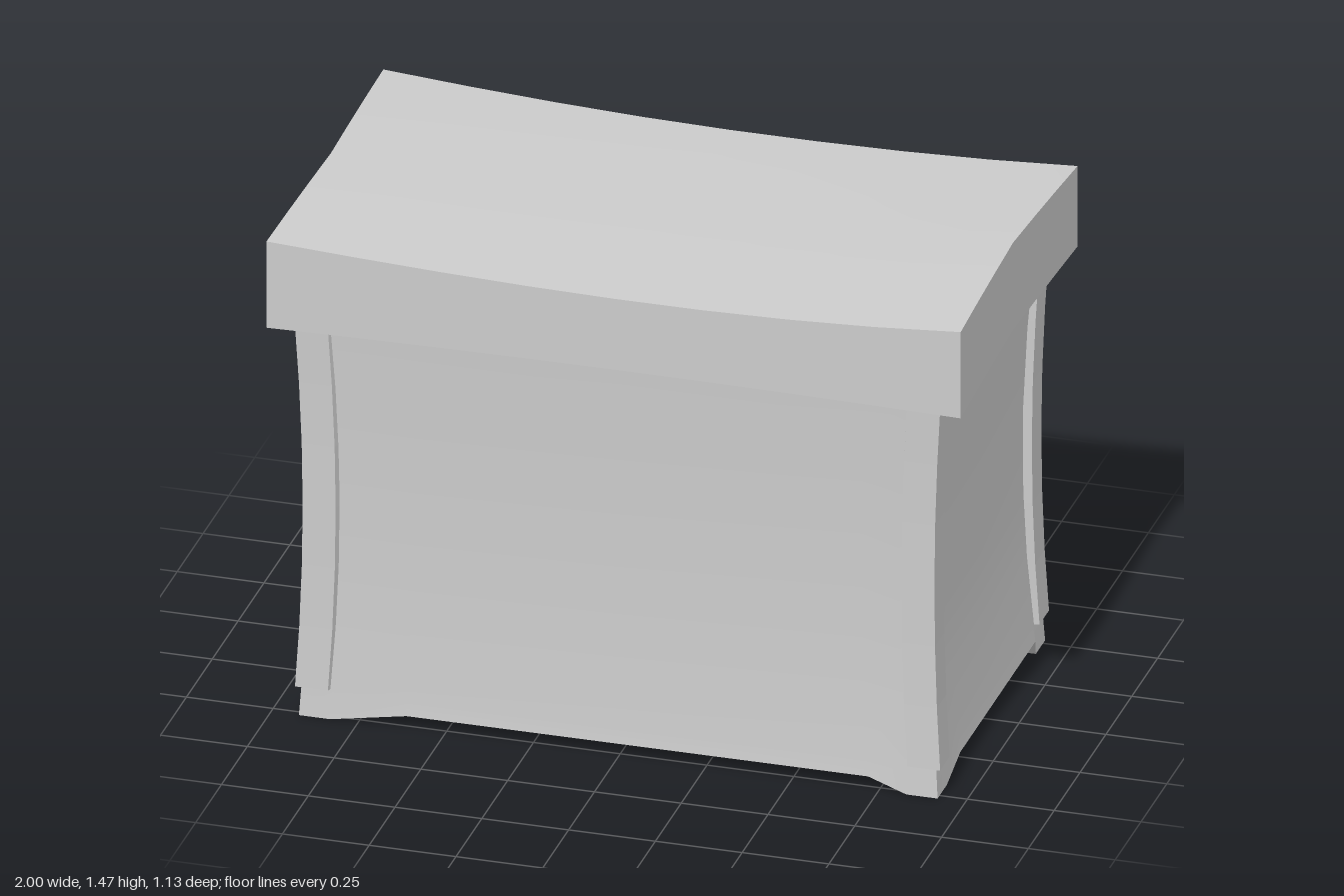
import * as THREE from 'three';

const material = new THREE.MeshStandardMaterial({ color: 0xcccccc });

// Move every vertex by a rule, then refresh the normals (box edges stay sharp)
function reshape(geometry, rule) {
  const p = geometry.attributes.position;
  const v = new THREE.Vector3();
  for (let i = 0; i < p.count; i++) {
    v.fromBufferAttribute(p, i);
    rule(v);
    p.setXYZ(i, v.x, v.y, v.z);
  }
  geometry.computeVertexNormals();
  return geometry;
}

function part(name, geometry) {
  const mesh = new THREE.Mesh(geometry, material);
  mesh.name = name;
  return mesh;
}

// 0 at the top and bottom of the sides, 1 at mid height
const waist = (y) => Math.max(0, 1 - ((y - 0.64) / 0.56) ** 2);

// Box body: waisted walls, underside dropping to a foot at each corner
function makeBody() {
  const xs = [-0.92, -0.83, -0.61, 0, 0.72, 0.83, 0.92];
  const zs = [-0.52, -0.43, -0.31, 0, 0.3, 0.43, 0.52];
  const ys = [0, 0.09, 0.3, 0.5, 0.75, 1, 1.22];
  const box = new THREE.BoxGeometry(6, 6, 6, 6, 6, 6);
  return part('body', reshape(box, (v) => {
    const [i, j, k] = [v.x, v.y, v.z].map((n) => Math.round(n + 3));
    v.set(xs[i], ys[j], zs[k]);
    if (i > 3 && k === 2) v.z = -0.425; // steep inner end on one back foot
    const foot = Math.abs(v.x) > 0.8 && Math.abs(v.z) > 0.426;
    if (j === 0 && !foot) v.y = 0.04;
    if (j > 0) {
      v.x *= 0.995 - 0.033 * waist(v.y);
      v.z *= 0.99 - 0.035 * waist(v.y);
    }
  }));
}

// Corner post wrapped round one vertical edge of the body
function makePost(sx, sz) {
  const outline = [[0.93, 0.527], [0.835, 0.527], [0.822, 0.48], [0.87, 0.42], [0.93, 0.435]];
  const shape = new THREE.Shape(outline.map(([x, z]) => new THREE.Vector2(x * sx, -z * sz)));
  const post = new THREE.ExtrudeGeometry(shape, { depth: 1.12, steps: 6, bevelEnabled: false });
  post.rotateX(-Math.PI / 2).translate(0, 0.09, 0);
  const name = (sz > 0 ? 'front' : 'back') + (sx > 0 ? 'Left' : 'Right') + 'Post';
  return part(name, reshape(post, (v) => {
    const w = waist(v.y);
    v.x -= sx * 0.02 * w;
    v.z -= sz * 0.01 * w;
  }));
}

// Thick lid with a sagging top and slightly pinched sides
function makeLid() {
  const box = new THREE.BoxGeometry(2, 0.26, 1.13, 8, 1, 6);
  return part('lid', reshape(box, (v) => {
    const x = v.x;
    const z = v.z / 0.565;
    if (v.y > 0) {
      const backDip = 0.018 * Math.max(0, x) ** 2 * Math.max(0, -z);
      v.y = 1.465 - 0.042 * (1 - (x - 0.1 * (1 - x * x)) ** 2) + 0.009 * (1 - z * z) - backDip;
    } else {
      v.y = 1.2 + 0.006 * (1 - x * x * z * z);
    }
    v.x *= 1 - 0.017 * (1 - Math.abs(z));
    v.z *= 1 - 0.017 * (1 - x * x);
  }));
}

export function createModel() {
  const chest = new THREE.Group();
  chest.name = 'chest';
  chest.add(makeBody(), makeLid());
  for (const sx of [-1, 1]) {
    for (const sz of [-1, 1]) chest.add(makePost(sx, sz));
  }
  return chest;
}
